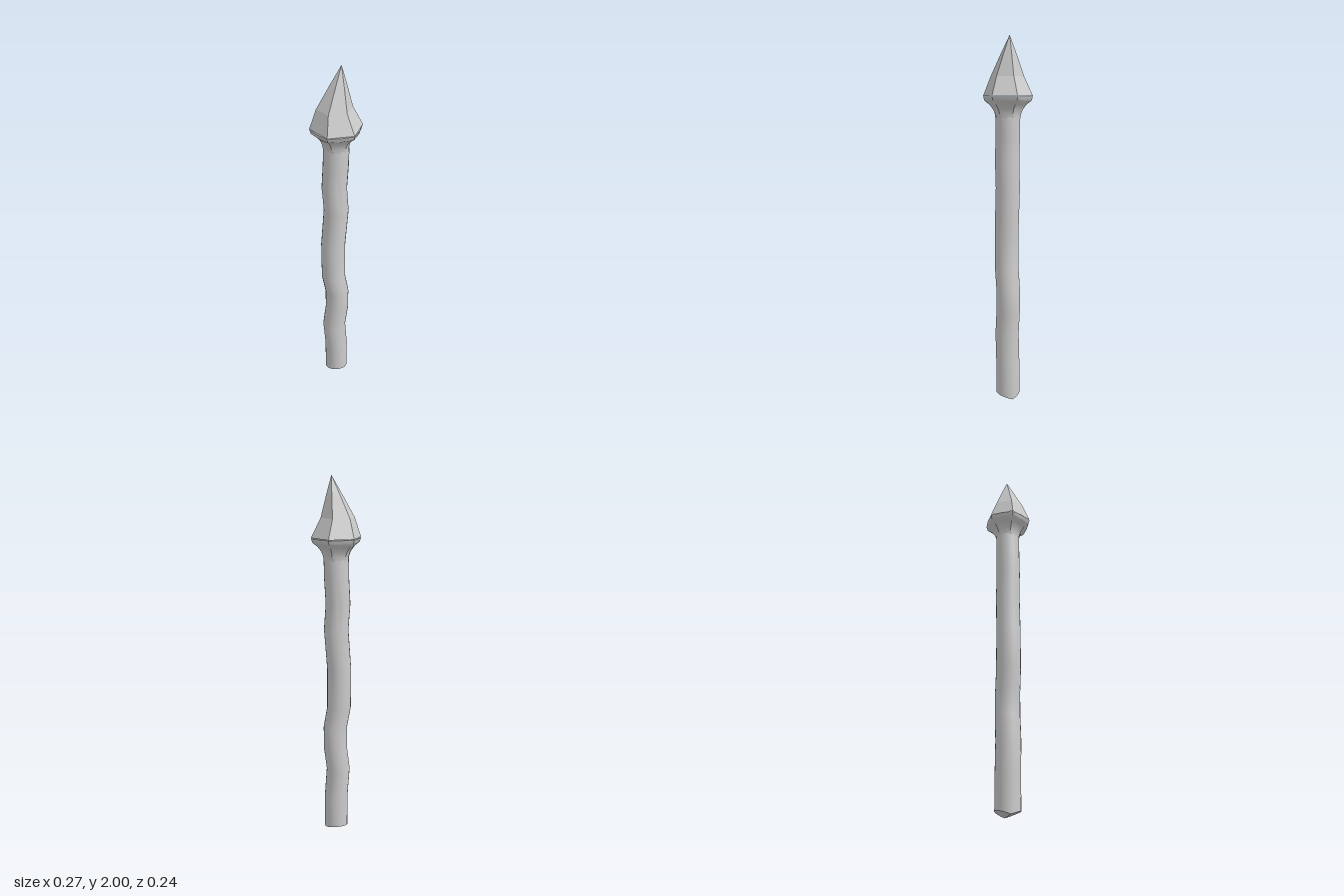
import * as THREE from 'three';
import { toCreasedNormals } from 'three/addons/utils/BufferGeometryUtils.js';

// Sideways offset of the centreline: [y, x]
const BEND = [
  [0, 0], [0.2, 0], [0.37, -0.012], [0.5, 0.004], [0.63, 0.005], [0.75, -0.016],
  [0.97, -0.017], [1.2, 0], [1.34, -0.01], [1.48, -0.002], [1.58, 0], [1.69, 0],
  [1.79, -0.008], [1.905, 0.01], [2, 0.025],
];

function bendAt(y) {
  for (let i = 1; i < BEND.length; i++) {
    const [y0, x0] = BEND[i - 1], [y1, x1] = BEND[i];
    if (y <= y1) return x0 + (x1 - x0) * (y - y0) / (y1 - y0);
  }
  return BEND[BEND.length - 1][1];
}

// Turned profile [radius, y], whose vertices are then moved by a rule
function turned(profile, sides, start, rule) {
  const points = profile.map(([r, y]) => new THREE.Vector2(r, y));
  const geo = new THREE.LatheGeometry(points, sides, start);
  const pos = geo.attributes.position;
  const v = new THREE.Vector3();
  for (let i = 0; i < pos.count; i++) {
    v.fromBufferAttribute(pos, i);
    rule(v, Math.floor(i / profile.length));
    pos.setXYZ(i, v.x, v.y, v.z);
  }
  return geo;
}

export function createModel() {
  const group = new THREE.Group();
  const smooth = new THREE.MeshStandardMaterial({ color: 0xcccccc });
  const faceted = new THREE.MeshStandardMaterial({ color: 0xcccccc, flatShading: true });
  const add = (name, geo, mat) => {
    const mesh = new THREE.Mesh(geo, mat);
    mesh.name = name;
    group.add(mesh);
  };
  const R = 0.066;

  // Crooked shaft with a wedge-cut foot
  const shaftProfile = BEND.filter(([y]) => y < 1.6).map(([y]) => [R, y]);
  const wedge = (v) => {
    const y = v.y;
    v.x += bendAt(y);
    if (y === 0) v.y = Math.abs(v.z) * 0.35;
  };
  add('shaft', toCreasedNormals(turned(shaftProfile, 24, 0, wedge), 0.6), smooth);
  add('shaftFoot', turned([[0, 0], [R, 0]], 24, 0, wedge), faceted);

  // Flared collar, turning from round to six-cornered at the rim
  const collarProfile = [
    [R, 1.57], [0.07, 1.595], [0.08, 1.62], [0.1, 1.645], [0.126, 1.665], [0.133, 1.687], [0, 1.687],
  ];
  const collar = turned(collarProfile, 12, Math.PI / 6, (v, column) => {
    const t = THREE.MathUtils.clamp((v.y - 1.57) / 0.07, 0, 1);
    const s = column % 2 ? 1 - 0.09 * t : 1;
    v.x *= s;
    v.z *= s;
  });
  add('collar', toCreasedNormals(collar, 0.6), smooth);

  // Six-sided spear head with its tip leaning sideways
  const headProfile = [[0.133, 1.69], [0.09, 1.79], [0.042, 1.905], [0, 2]];
  const head = turned(headProfile, 6, Math.PI / 6, (v) => { v.x += bendAt(v.y); });
  add('spearHead', head, faceted);

  return group;
}
